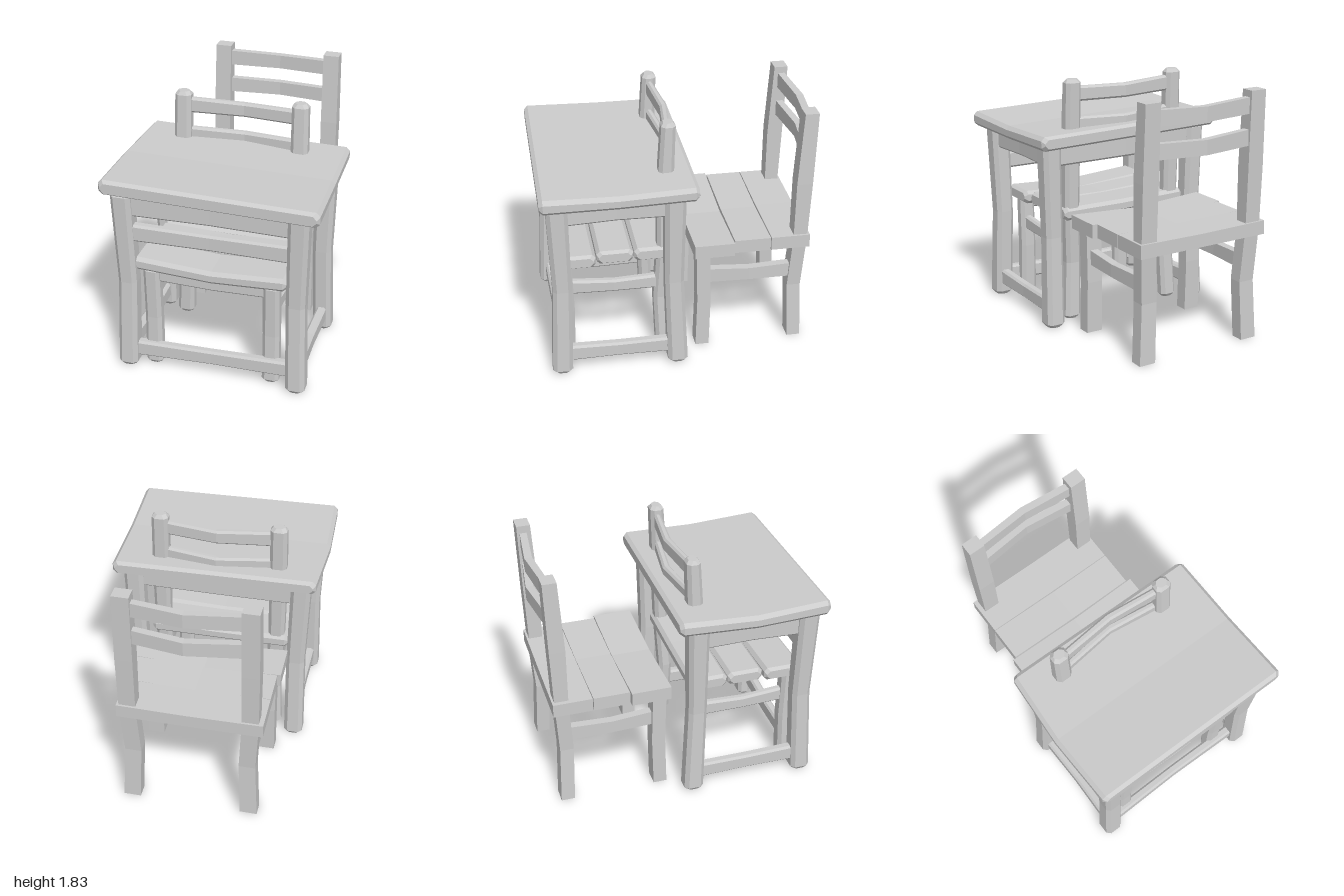
import * as THREE from 'three';

const material = new THREE.MeshStandardMaterial({ color: 0xcccccc, flatShading: true });

// Lofted wooden beam along an axis. Stations: [t, uCentre, vCentre, uSize, vSize].
// (t,u,v) map to x,y,z / y,z,x / z,x,y. A chamfer c bevels the long edges and ends.
function beam(name, axis, stations, c = 0) {
  const st = stations.map((s) => [...s]);
  if (c > 0) {
    const first = st[0], last = st[st.length - 1];
    const shrink = (s) => [s[0], s[1], s[2], s[3] - c * 1.4, s[4] - c * 1.4];
    const capA = shrink(first), capB = shrink(last);
    first[0] += c;
    last[0] -= c;
    st.unshift(capA);
    st.push(capB);
  }
  const pos = [], index = [];
  const put = (t, u, v) => {
    const p = [0, 0, 0];
    p[axis] = t; p[(axis + 1) % 3] = u; p[(axis + 2) % 3] = v;
    pos.push(...p);
  };
  const n = c > 0 ? 8 : 4;
  for (const [t, cu, cv, wu, wv] of st) {
    const a = wu / 2, b = wv / 2, k = c;
    const ring = c > 0
      ? [[a, -b + k], [a, b - k], [a - k, b], [-a + k, b], [-a, b - k], [-a, -b + k], [-a + k, -b], [a - k, -b]]
      : [[a, -b], [a, b], [-a, b], [-a, -b]];
    for (const [u, v] of ring) put(t, cu + u, cv + v);
  }
  for (let i = 0; i < st.length - 1; i++) {
    for (let j = 0; j < n; j++) {
      const p = i * n + j, q = i * n + (j + 1) % n;
      index.push(p, q, q + n, p, q + n, p + n);
    }
  }
  const end = (st.length - 1) * n;
  for (let j = 1; j < n - 1; j++) {
    index.push(0, j + 1, j, end, end + j, end + j + 1);
  }
  const g = new THREE.BufferGeometry();
  g.setAttribute('position', new THREE.Float32BufferAttribute(pos, 3));
  g.setIndex(index);
  const flat = g.toNonIndexed();
  flat.computeVertexNormals();
  const mesh = new THREE.Mesh(flat, material);
  mesh.name = name;
  return mesh;
}

const X = 0, Y = 1, Z = 2;

function createChair(name, c) {
  const chair = new THREE.Group();
  chair.name = name;

  for (const s of [-1, 1]) {
    const x = s * 0.435 - 0.012;
    // Back post, leaning backwards above the seat
    chair.add(beam('backPost', Y, [
      [0.01, -0.885, x, 0.1, 0.125],
      [0.45, -0.87, x - s * 0.02, 0.1, 0.12],
      [0.85, -0.895, x, 0.1, 0.12],
      [1.3, -0.905, x, 0.115, 0.125],
      [1.84, -0.93, x - s * 0.005, 0.1, 0.12],
    ], c));
    // Front leg
    chair.add(beam('frontLeg', Y, [
      [0.01, -0.18, x, 0.1, 0.125],
      [0.4, -0.19, x, 0.1, 0.12],
      [0.81, -0.18, x, 0.1, 0.12],
    ], c));
    // Side stretcher
    chair.add(beam('sideStretcher', Z, [
      [-0.87, x, 0.58, 0.06, 0.11],
      [-0.53, x + s * 0.01, 0.58, 0.06, 0.095],
      [-0.2, x, 0.59, 0.06, 0.11],
    ], c * 0.6));
  }

  // Seat planks, front to back
  const planks = [
    [-0.255, 0.29, -0.565, 0.535, 0.025],
    [-0.54, 0.265, -0.54, 0.5, 0.01],
    [-0.82, 0.285, -0.54, 0.5, 0],
  ];
  for (const [z, depth, x0, x1, dip] of planks) {
    chair.add(beam('seatPlank', X, [
      [x0, 0.845, z, 0.1, depth],
      [0, 0.84 - dip, z, 0.095, depth],
      [x1, 0.842, z, 0.1, depth],
    ], c));
  }

  // Rail under the front of the seat
  chair.add(beam('seatRail', X, [
    [-0.4, 0.765, -0.18, 0.13, 0.06],
    [0, 0.75, -0.18, 0.12, 0.06],
    [0.4, 0.765, -0.18, 0.13, 0.06],
  ], c * 0.6));

  // Bowed back slats
  for (const [y, z, bow] of [[1.73, -0.93, 0.04], [1.505, -0.925, 0.05]]) {
    chair.add(beam('backSlat', X, [
      [-0.41, y + 0.005, z, 0.115, 0.05],
      [0, y - 0.005, z - bow, 0.105, 0.055],
      [0.39, y, z, 0.11, 0.05],
    ], c * 0.6));
  }
  return chair;
}

function createTable() {
  const table = new THREE.Group();
  table.name = 'table';

  // Slightly tilted, warped top
  const top = beam('tableTop', Z, [
    [-0.1, 0.005, 0, 1.49, 0.105],
    [0.45, -0.005, -0.01, 1.53, 0.1],
    [0.99, 0.01, 0.005, 1.53, 0.11],
  ], 0.027);
  top.position.y = 1.44;
  top.rotation.z = -0.02;
  table.add(top);

  for (const s of [-1, 1]) {
    const x = s * 0.622;
    // Legs pinched inwards at mid height
    for (const [name, zb, zm, zt] of [['frontTableLeg', 0.88, 0.855, 0.87], ['backTableLeg', 0.035, 0.06, 0.055]]) {
      table.add(beam(name, Y, [
        [0.01, zb, x, 0.145, 0.14],
        [0.7, zm, x - s * 0.015, 0.135, 0.135],
        [1.41, zt, x, 0.15, 0.145],
      ], 0.028));
    }
    // Side apron and low side stretcher
    table.add(beam('sideApron', Z, [
      [0.05, x, 1.32, 0.07, 0.19],
      [0.46, x - s * 0.01, 1.32, 0.07, 0.19],
      [0.88, x, 1.31, 0.07, 0.19],
    ], 0.015));
    table.add(beam('sideTableStretcher', Z, [
      [0.05, x, 0.155, 0.07, 0.12],
      [0.46, x - s * 0.01, 0.15, 0.07, 0.11],
      [0.88, x, 0.16, 0.07, 0.125],
    ], 0.015));
  }

  // Cross rails: [name, y left end, y right end, z, height]
  const rails = [
    ['frontApron', 1.31, 1.31, 0.87, 0.17],
    ['backApron', 1.31, 1.31, 0.045, 0.17],
    ['frontRail', 1.095, 1.1, 0.87, 0.13],
    ['frontTableStretcher', 0.14, 0.17, 0.87, 0.12],
  ];
  for (const [name, ya, yb, z, h] of rails) {
    table.add(beam(name, X, [
      [-0.61, ya, z, h, 0.07],
      [0, (ya + yb) / 2 - 0.005, z - 0.01, h * 0.92, 0.065],
      [0.61, yb, z, h, 0.07],
    ], 0.015));
  }
  return table;
}

export function createModel() {
  const model = new THREE.Group();
  model.name = 'tableWithChairs';
  model.add(createTable());
  // One bevelled chair pushed under the table, one square-edged chair behind it
  const tucked = createChair('tuckedChair', 0.025);
  tucked.position.z = 1.0;
  model.add(tucked, createChair('rearChair', 0));
  return model;
}
